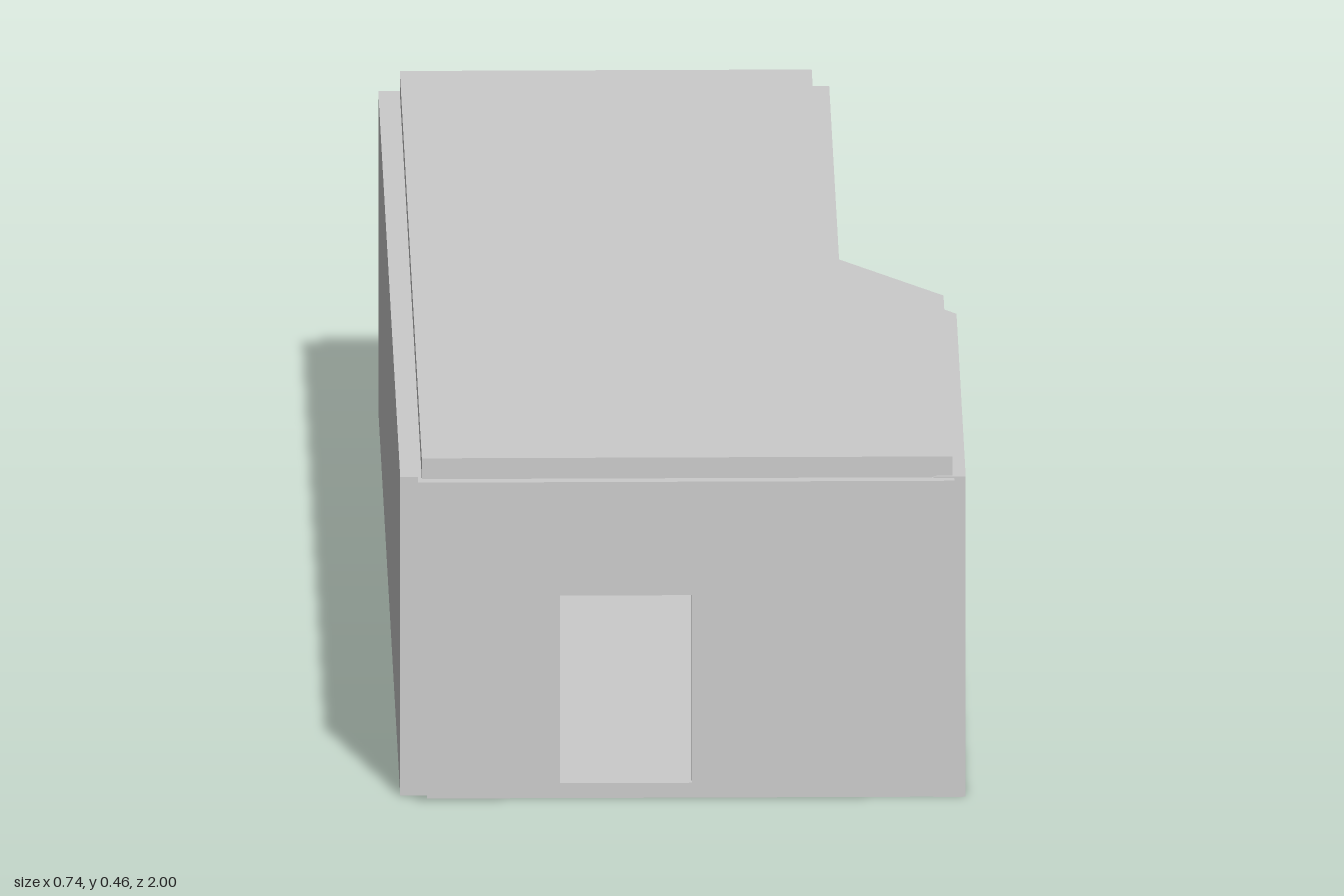
import * as THREE from 'three';

const material = new THREE.MeshStandardMaterial({ color: 0xcccccc, flatShading: true });

function shapeFrom(points) {
  return new THREE.Shape(points.map(([x, y]) => new THREE.Vector2(x, y)));
}

function addMesh(group, name, geometry) {
  const mesh = new THREE.Mesh(geometry, material);
  mesh.name = name;
  group.add(mesh);
  return mesh;
}

// Upright prism over a plan outline of [x, z] points
function addPrism(group, name, plan, y0, y1) {
  const shape = shapeFrom(plan.map(([x, z]) => [x, -z]));
  const geometry = new THREE.ExtrudeGeometry(shape, { depth: y1 - y0, bevelEnabled: false });
  geometry.rotateX(-Math.PI / 2).translate(0, y0, 0);
  return addMesh(group, name, geometry);
}

// Wall outline in the x-y plane, with an optional hole, from z0 to z1
function addEndWall(group, name, outline, hole, z0, z1) {
  const shape = shapeFrom(outline);
  if (hole) shape.holes.push(shapeFrom(hole));
  const geometry = new THREE.ExtrudeGeometry(shape, { depth: z1 - z0, bevelEnabled: false });
  geometry.translate(0, 0, z0);
  return addMesh(group, name, geometry);
}

const rect = (x0, y0, x1, y1) => [[x0, y0], [x1, y0], [x1, y1], [x0, y1]];

export function createModel() {
  const group = new THREE.Group();
  group.name = 'room';

  // Floor and ceiling share the stepped plan
  addPrism(group, 'floor', [
    [-0.335, 0.985], [0.355, 0.985], [0.355, 0.16], [0.205, -0.05], [0.205, -0.99], [-0.335, -0.99],
  ], 0, 0.02);
  addPrism(group, 'ceiling', [
    [-0.342, 0.982], [0.35, 0.982], [0.35, 0.165], [0.195, -0.05], [0.195, -0.985], [-0.342, -0.985],
  ], 0.428, 0.458);

  // Long straight wall
  addPrism(group, 'straightWall', rect(-0.37, -0.99, -0.325, 0.97), 0, 0.43);

  // Opposite wall with its slanted step
  addPrism(group, 'steppedWall', [
    [0.367, 0.986], [0.367, 0.16], [0.218, -0.05], [0.218, -0.999],
    [0.175, -0.999], [0.175, -0.035], [0.325, 0.175], [0.325, 0.986],
  ], 0, 0.432);

  // Front wall with doorway cut from its bottom edge
  addEndWall(group, 'frontWall', [
    [-0.347, 0.014], [-0.162, 0.014], [-0.162, 0.277], [0.01, 0.277],
    [0.01, 0.018], [0.352, 0.018], [0.352, 0.43], [-0.347, 0.43],
  ], null, 0.945, 1);

  // Back wall with window
  addEndWall(group, 'backWall', rect(-0.335, 0, 0.2, 0.43),
    rect(-0.17, 0.087, 0.01, 0.335), -1, -0.945);

  // Thin upright panel inside the room
  const panel = addMesh(group, 'innerPanel', new THREE.BoxGeometry(0.007, 0.165, 0.1));
  panel.position.set(0.001, 0.1175, 0);

  return group;
}
